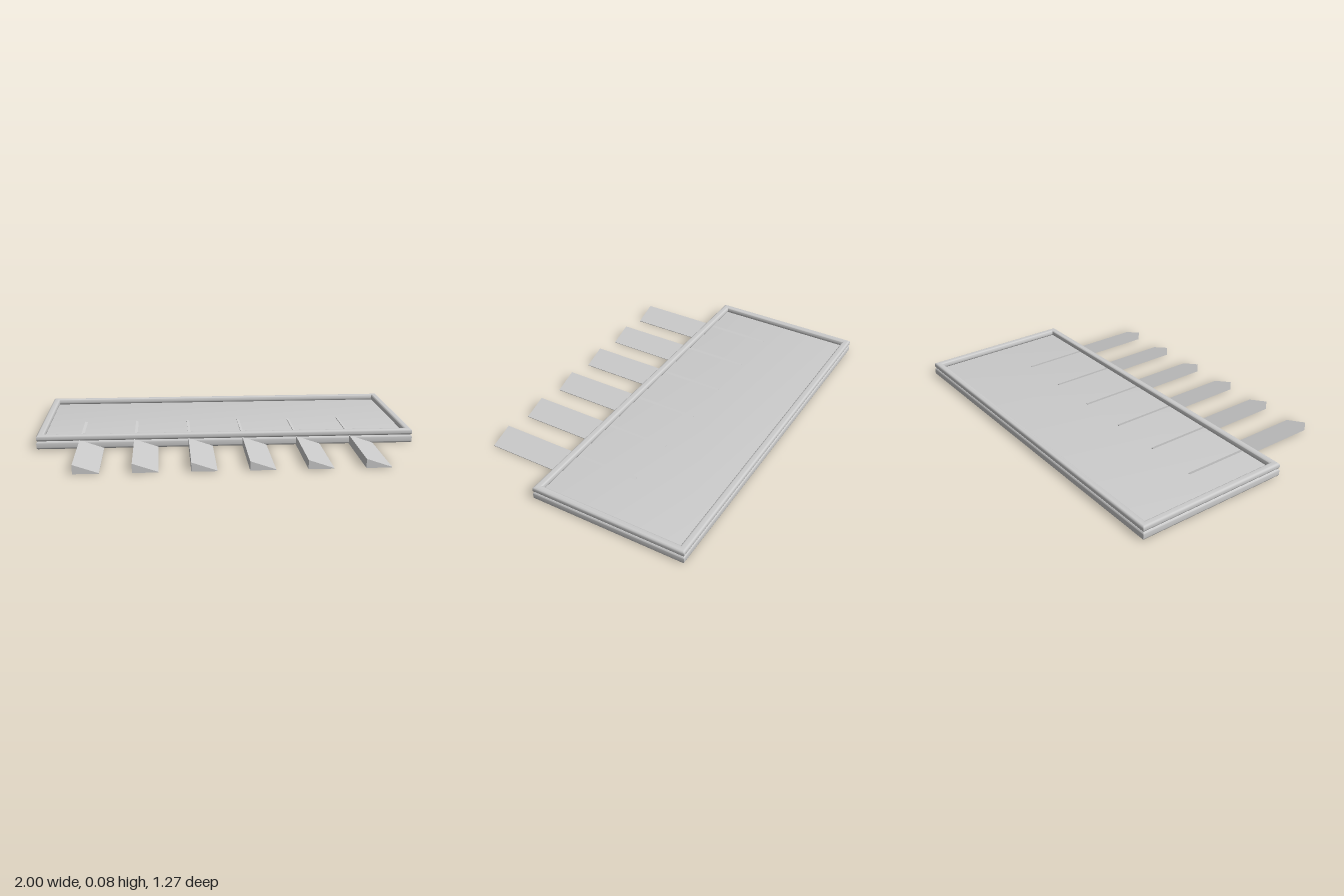
import * as THREE from 'three';
import { toCreasedNormals } from 'three/addons/utils/BufferGeometryUtils.js';

const material = new THREE.MeshStandardMaterial({ color: 0xcccccc });
const BACK = -0.635, EDGE = 0.21, FRONT = 0.635; // z limits of tray and prongs

// Rectangle in plan, inset from the tray outline
function outline(Type, inset) {
  const x = 1 - inset, near = -EDGE + inset, far = -BACK - inset;
  return new Type([[-x, near], [x, near], [x, far], [-x, far]].map(p => new THREE.Vector2(...p)));
}

// Plan shape raised from y0 to y1 with rounded edges
function layer(name, shape, y0, y1, bevel) {
  const geometry = new THREE.ExtrudeGeometry(shape, {
    depth: y1 - y0 - 2 * bevel, bevelThickness: bevel, bevelSize: bevel, bevelSegments: 4,
  });
  geometry.rotateX(-Math.PI / 2).translate(0, y0 + bevel, 0);
  const mesh = new THREE.Mesh(toCreasedNormals(geometry, 0.6), material);
  mesh.name = name;
  return mesh;
}

export function createModel() {
  const group = new THREE.Group();
  group.name = 'prongedTray';
  const bevel = 0.011;

  // Base slab
  group.add(layer('baseSlab', outline(THREE.Shape, bevel), 0, 0.043, bevel));

  // Raised rim around the slab
  const rim = outline(THREE.Shape, bevel);
  rim.holes.push(outline(THREE.Path, 0.038 - bevel));
  group.add(layer('rim', rim, 0.043, 0.075, bevel));

  // Wedge-section prongs, whose high edges just break through the tray floor
  const wedge = new THREE.Shape([[0, 0.001], [0.128, 0.001], [0.128, 0.004], [0, 0.048]]
    .map(p => new THREE.Vector2(...p)));
  const start = -0.17;
  const prong = new THREE.ExtrudeGeometry(wedge, { depth: FRONT - start, bevelEnabled: false });
  for (let i = 0; i < 6; i++) {
    const mesh = new THREE.Mesh(prong, material);
    mesh.name = `prong${i + 1}`;
    mesh.position.set(-0.775 + i * 0.2865, 0, start);
    group.add(mesh);
  }
  return group;
}
